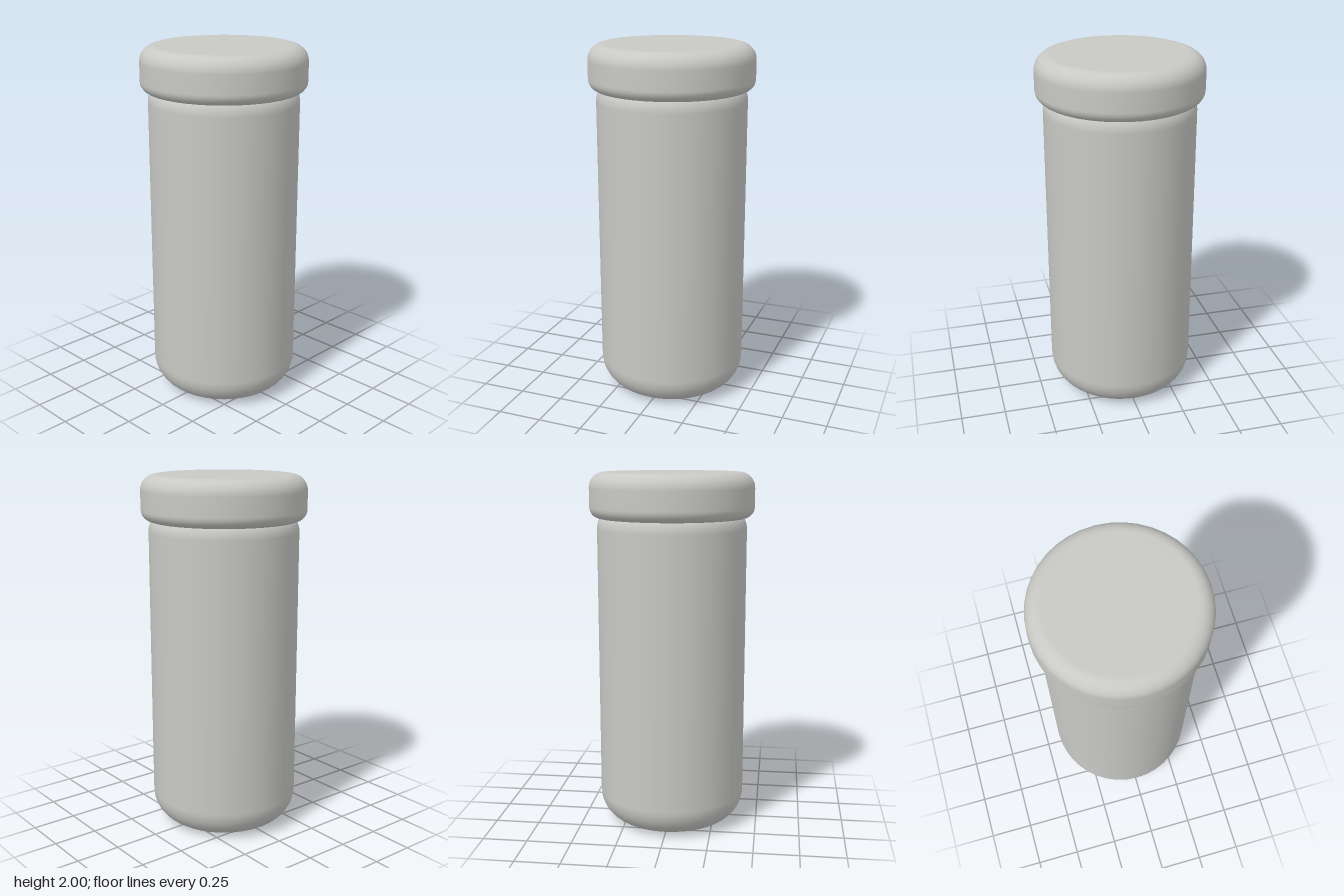
import * as THREE from 'three';

const SEGMENTS = 40;

// Adds a quarter-ellipse corner to a profile, from angle a0 to a1 (degrees).
function corner(points, cx, cy, rx, ry, a0, a1, steps = 8) {
  for (let i = 0; i <= steps; i++) {
    const a = THREE.MathUtils.degToRad(a0 + ((a1 - a0) * i) / steps);
    points.push(new THREE.Vector2(cx + rx * Math.cos(a), cy + ry * Math.sin(a)));
  }
}

function turnedPart(name, points, material) {
  const mesh = new THREE.Mesh(new THREE.LatheGeometry(points, SEGMENTS), material);
  mesh.name = name;
  return mesh;
}

export function createModel() {
  const group = new THREE.Group();
  group.name = 'liddedJar';
  const grey = new THREE.MeshStandardMaterial({ color: 0xc8c8c5 });
  grey.name = 'light grey';

  // Body: flat base, broad rounded foot, straight wall, small shoulder under the lid
  const body = [new THREE.Vector2(0, 0)];
  corner(body, 0.255, 0.17, 0.162, 0.17, -90, 0, 10);
  corner(body, 0.367, 1.69, 0.05, 0.08, 0, 60, 6);
  body.push(new THREE.Vector2(0.385, 1.77));
  group.add(turnedPart('body', body, grey));

  // Lid: wider disc with rounded rims
  const lid = [new THREE.Vector2(0, 1.75)];
  corner(lid, 0.398, 1.81, 0.06, 0.06, -90, 0);
  corner(lid, 0.373, 1.915, 0.085, 0.085, 0, 90);
  lid.push(new THREE.Vector2(0, 2));
  group.add(turnedPart('lid', lid, grey));

  return group;
}
